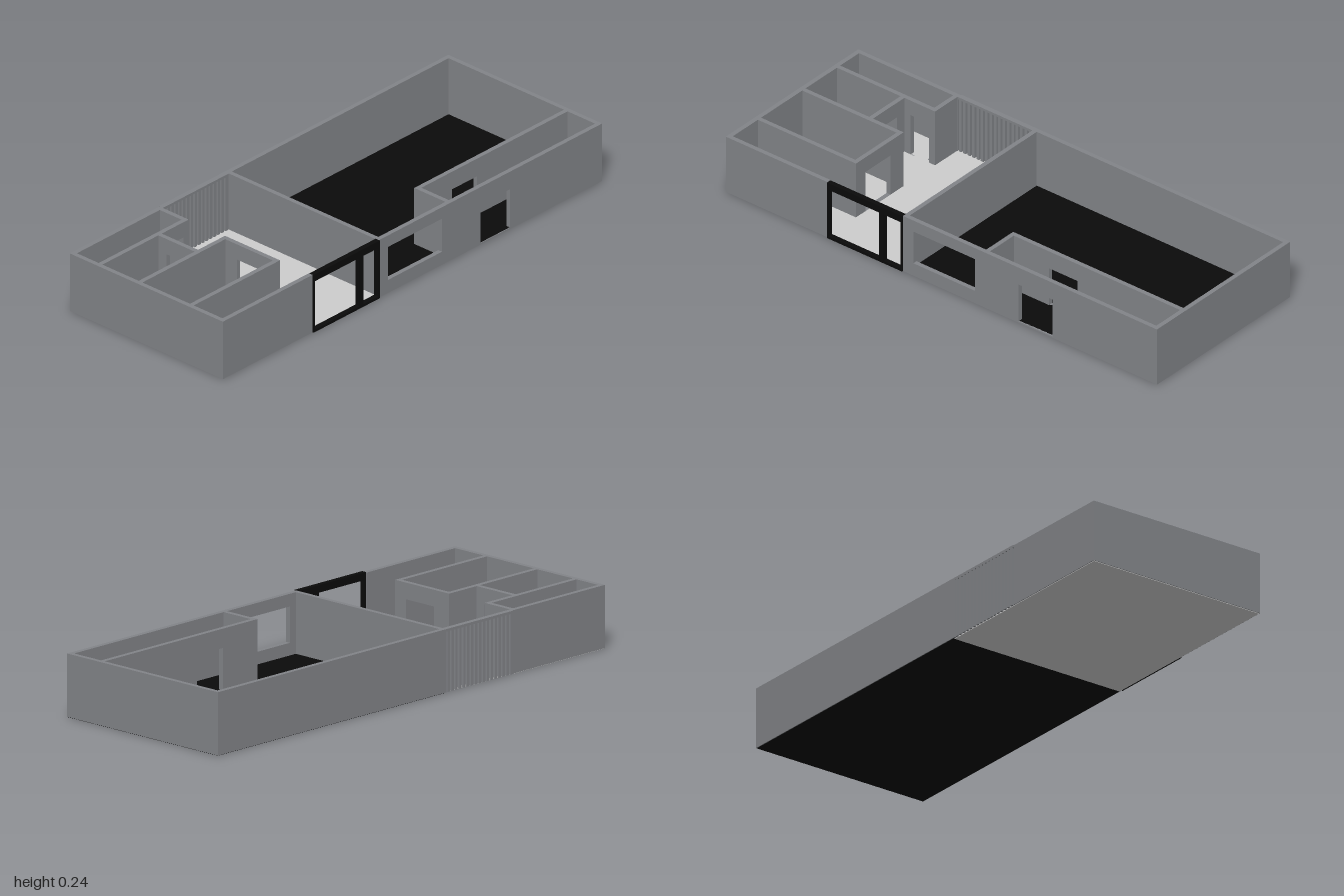
import * as THREE from 'three';

const mat = (name, color) => {
  const m = new THREE.MeshStandardMaterial({ color });
  m.name = name;
  return m;
};

export function createModel() {
  const group = new THREE.Group();
  const grey = mat('wall grey', 0x828488);
  const black = mat('black', 0x0a0a0a);
  const pale = mat('pale floor', 0xcccccc);
  const H = 0.237, BASE = 0.002, T = 0.018, FLOOR = 0.008;

  const add = (name, geometry, material) => {
    const mesh = new THREE.Mesh(geometry, material);
    mesh.name = name;
    group.add(mesh);
  };

  // Box given by its lower and upper bounds
  const box = (name, material, x0, x1, y0, y1, z0, z1) => {
    const g = new THREE.BoxGeometry(x1 - x0, y1 - y0, z1 - z0);
    g.translate((x0 + x1) / 2, (y0 + y1) / 2, (z0 + z1) / 2);
    add(name, g, material);
  };

  // Upright wall from a to b along an axis, centred at c; holes are [a, b, bottom, top]
  const wall = (name, axis, a, b, c, holes = []) => {
    const rect = (path, u0, u1, v0, v1) =>
      path.moveTo(u0, v0).lineTo(u1, v0).lineTo(u1, v1).lineTo(u0, v1).closePath();
    const shape = new THREE.Shape();
    rect(shape, a, b, BASE, H);
    for (const h of holes) {
      const p = new THREE.Path();
      rect(p, ...h);
      shape.holes.push(p);
    }
    const g = new THREE.ExtrudeGeometry(shape, { depth: T, bevelEnabled: false });
    g.translate(0, 0, -T / 2);
    if (axis === 'z') g.rotateY(-Math.PI / 2).translate(c, 0, 0);
    else g.translate(0, 0, c);
    add(name, g, grey);
  };

  // Floors
  box('paleFloor', pale, -0.997, -0.17, 0, FLOOR, -0.37, 0.37);
  box('blackFloor', black, -0.17, 0.997, 0, FLOOR, -0.374, 0.37);

  // Outer walls
  wall('leftBlockEndWall', 'z', -0.373, 0.373, -1 + T / 2);
  wall('hallEndWall', 'z', -0.377, 0.373, 1 - T / 2);
  wall('backWallSmallRooms', 'x', -1, -0.525, -0.373 + T / 2);
  wall('backWallHall', 'x', -0.18, 1, -0.377 + T / 2);
  wall('frontWallSmallRooms', 'x', -1, -0.525, 0.373 - T / 2);
  wall('frontWallHall', 'x', -0.18, 1, 0.373 - T / 2, [
    [-0.13, 0.155, 0.055, 0.19],
    [0.358, 0.515, FLOOR, 0.165],
  ]);

  // Inner walls with doorways
  wall('dividingWall', 'z', -0.377, 0.373, -0.17);
  wall('backRoomWall', 'x', -1, -0.527, -0.24, [[-0.64, -0.555, FLOOR, 0.175]]);
  wall('backRoomEnd', 'z', -0.373, -0.231, -0.536);
  wall('recessWall', 'z', -0.24, -0.045, -0.678, [[-0.19, -0.09, FLOOR, 0.175]]);
  wall('middleRoomBackWall', 'x', -1, -0.527, -0.045);
  wall('middleRoomEnd', 'z', -0.054, 0.214, -0.536, [[0.02, 0.16, FLOOR, 0.175]]);
  wall('middleRoomFrontWall', 'x', -1, -0.527, 0.205);
  wall('porchSideWall', 'z', 0.203, 0.373, 0.202);
  wall('porchBackWall', 'x', 0.193, 1, 0.212, [[0.373, 0.505, FLOOR, 0.165]]);

  // Black entrance frame
  const z0 = 0.358, z1 = 0.378;
  box('entranceBeam', black, -0.527, -0.178, 0.21, H + 0.001, z0, z1);
  box('entranceSill', black, -0.527, -0.178, BASE, 0.012, z0, z1);
  for (const [a, b] of [[-0.527, -0.519], [-0.284, -0.264], [-0.186, -0.178]])
    box('entrancePost', black, a, b, 0.012, 0.21, z0, z1);

  // Slatted screen in the back wall
  const slats = 17, pitch = 0.345 / slats;
  box('screenTopRail', grey, -0.525, -0.18, H - 0.01, H, -0.377, -0.357);
  for (let i = 0; i < slats; i++) {
    const x = -0.525 + (i + 0.5) * pitch;
    box('screenSlat', grey, x - 0.006, x + 0.006, BASE, H - 0.01, -0.377, -0.357);
  }
  return group;
}
